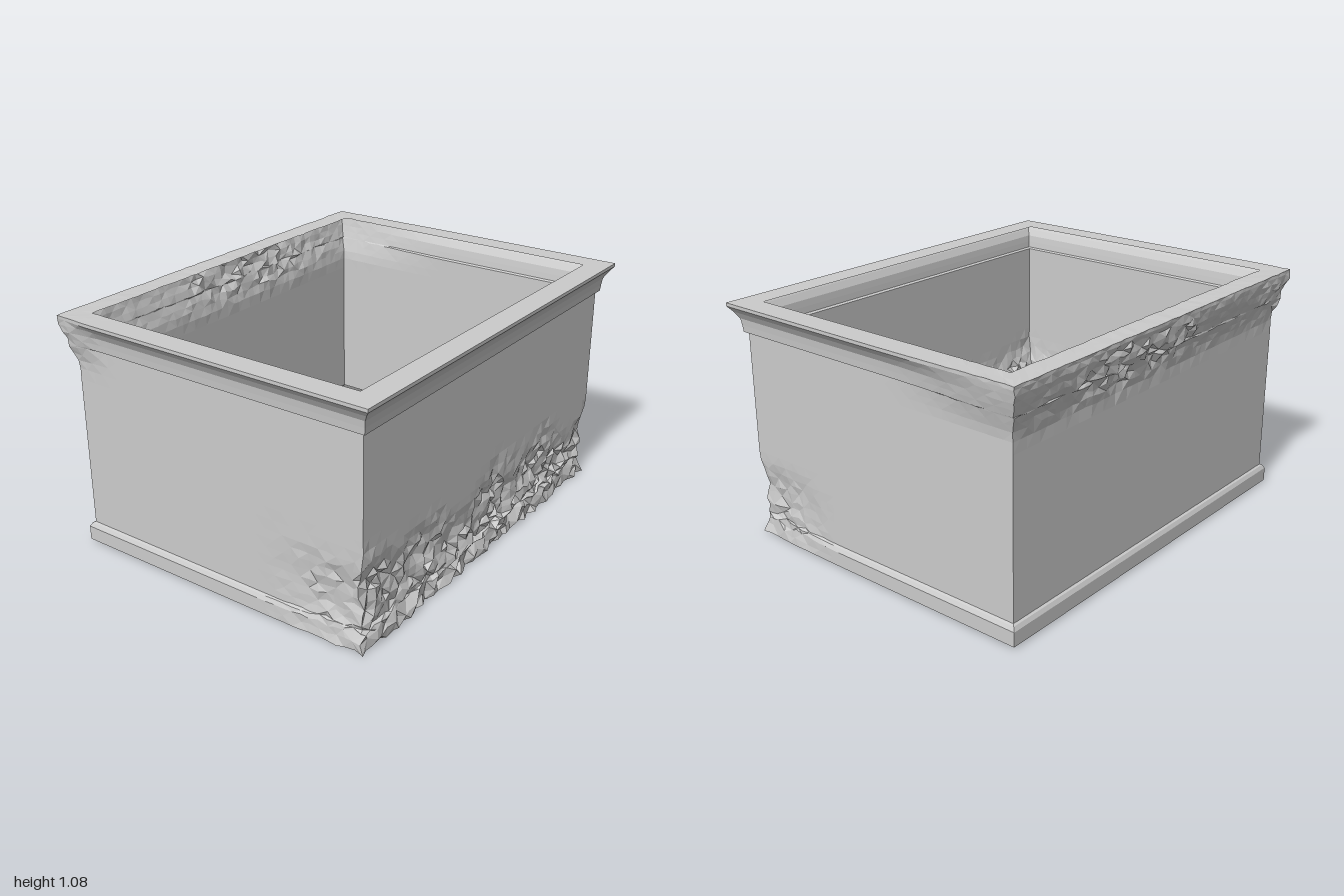
import * as THREE from 'three';

const HALF_X = 0.94, HALF_Z = 0.73;
const smooth = THREE.MathUtils.smoothstep;
const lerp = THREE.MathUtils.lerp;

// repeatable value in -1..1 from a position
function noise(x, y, z, k) {
  const q = (v) => Math.round(v * 1000);
  const s = Math.sin(q(x) * 12.9898 + q(y) * 78.233 + q(z) * 37.719 + k * 11.137) * 43758.5453;
  return (s - Math.floor(s)) * 2 - 1;
}

// [outward offset, height] from the top lip down to the bottom lip
const topFlange = [[-0.05, 1.08], [0.005, 1.08], [0.06, 1.08]];
const cornice = [[0.06, 1.08], [0.06, 1.065], [0.04, 1.04], [0.022, 1.01], [0.018, 0.98], [0.015, 0.95]];
const wall = [[0, 0.945]];
for (const y of [0.91, 0.88, 0.84, 0.79, 0.7, 0.6, 0.5, 0.45, 0.4, 0.36, 0.32, 0.28, 0.24, 0.2, 0.16, 0.13, 0.097]) wall.push([0, y]);
const base = [[0, 0.097], [0.01, 0.092], [0.02, 0.075], [0.02, 0.04], [0.02, 0.01]];
const bottomFlange = [[0.02, 0.01], [-0.015, 0.01], [-0.05, 0.01]];

// worn stone: low along the front, high along the back
function weather(d, y, sx, sz) {
  let x = sx * (HALF_X + d), z = sz * (HALF_Z + d);
  const ox = x, oz = z;
  const inner = d < -0.03;

  // front foot: moulding worn away, wall pressed in and chipped
  const reach = 0.36 + 0.05 * Math.sin(ox * 6) + 0.04 * Math.sin(ox * 13 + 1);
  const front = smooth(sz, 0.3, 0.97) * (1 - smooth(y, reach - 0.14, reach + 0.06));
  // back cornice: softened to a ramp, most at the +x corner
  const back = smooth(-sz, lerp(0.75, 0.1, smooth(sx, 0.6, 1)), 0.97) * smooth(y, 0.8, 0.92);

  let e = d;
  if (!inner) {
    const dent = 0.022 * Math.sin(Math.PI * Math.min(1, y / 0.4));
    e = lerp(e, Math.min(d, 0.004) - dent, front);
    const ramp = 0.054 * smooth(y, 0.82, 1.09);
    if (y < 1.06) e = lerp(e, ramp, back);
    else if (d > 0.03) e -= 0.008 * back;
  } else {
    e -= 0.02 * front;
  }
  x = sx * (HALF_X + e);
  z = sz * (HALF_Z + e);

  // chips
  const atFront = Math.abs(sz) > 0.999, rim = y > 1.05;
  const chipF = front * (inner ? 0.25 : 1);
  const chipB = back * (rim ? 0.2 : 0.6 + 0.4 * Math.sin(ox * 4 + 0.6));
  const n = (k) => noise(ox, y, oz, k);
  const along = 0.012 * chipF + 0.01 * chipB;
  const deep = 0.017 * chipF + 0.014 * chipB;
  x += n(1) * (atFront ? along : deep * 0.5);
  z += n(2) * (atFront ? deep : along);
  let h = y + n(3) * (0.014 * chipF + 0.01 * chipB * (rim ? 0.6 : 1));
  if (y < 0.02) h = lerp(0.01, 0.003 + 0.003 * n(4), front);
  x = THREE.MathUtils.clamp(x, -1, 1);
  z = THREE.MathUtils.clamp(z, -0.79, 0.79);
  return [x, Math.min(1.085, Math.max(0, h)), z];
}

// points round the rectangle as fractions of its half sizes
function perimeter() {
  const loop = [];
  const nx = 48, nz = 34;
  for (let i = 0; i < nx; i++) loop.push([-1 + 2 * i / nx, 1]);
  for (let i = 0; i < nz; i++) loop.push([1, 1 - 2 * i / nz]);
  for (let i = 0; i < nx; i++) loop.push([1 - 2 * i / nx, -1]);
  for (let i = 0; i < nz; i++) loop.push([-1, -1 + 2 * i / nz]);
  return loop;
}

// sweep a profile round the rectangle
function band(name, profile, material) {
  const loop = perimeter(), n = loop.length;
  const positions = [], index = [];
  for (const [d, y] of profile)
    for (const [sx, sz] of loop) positions.push(...weather(d, y, sx, sz));
  for (let r = 0; r < profile.length - 1; r++) {
    for (let i = 0; i < n; i++) {
      const j = (i + 1) % n;
      const a = r * n + i, b = r * n + j, c = a + n, e = b + n;
      if ((i + r) % 2) index.push(a, c, b, b, c, e);
      else index.push(a, c, e, a, e, b);
    }
  }
  const indexed = new THREE.BufferGeometry();
  indexed.setAttribute('position', new THREE.Float32BufferAttribute(positions, 3));
  indexed.setIndex(index);
  const geometry = indexed.toNonIndexed();
  geometry.computeVertexNormals();
  const mesh = new THREE.Mesh(geometry, material);
  mesh.name = name;
  return mesh;
}

export function createModel() {
  const group = new THREE.Group();
  group.name = 'stoneBox';
  const stone = new THREE.MeshStandardMaterial({ color: 0xcccccc, flatShading: true, side: THREE.DoubleSide });
  group.add(
    band('topFlange', topFlange, stone),
    band('cornice', [...cornice, wall[0]], stone),
    band('walls', wall, stone),
    band('baseMoulding', base, stone),
    band('bottomFlange', bottomFlange, stone)
  );
  return group;
}
